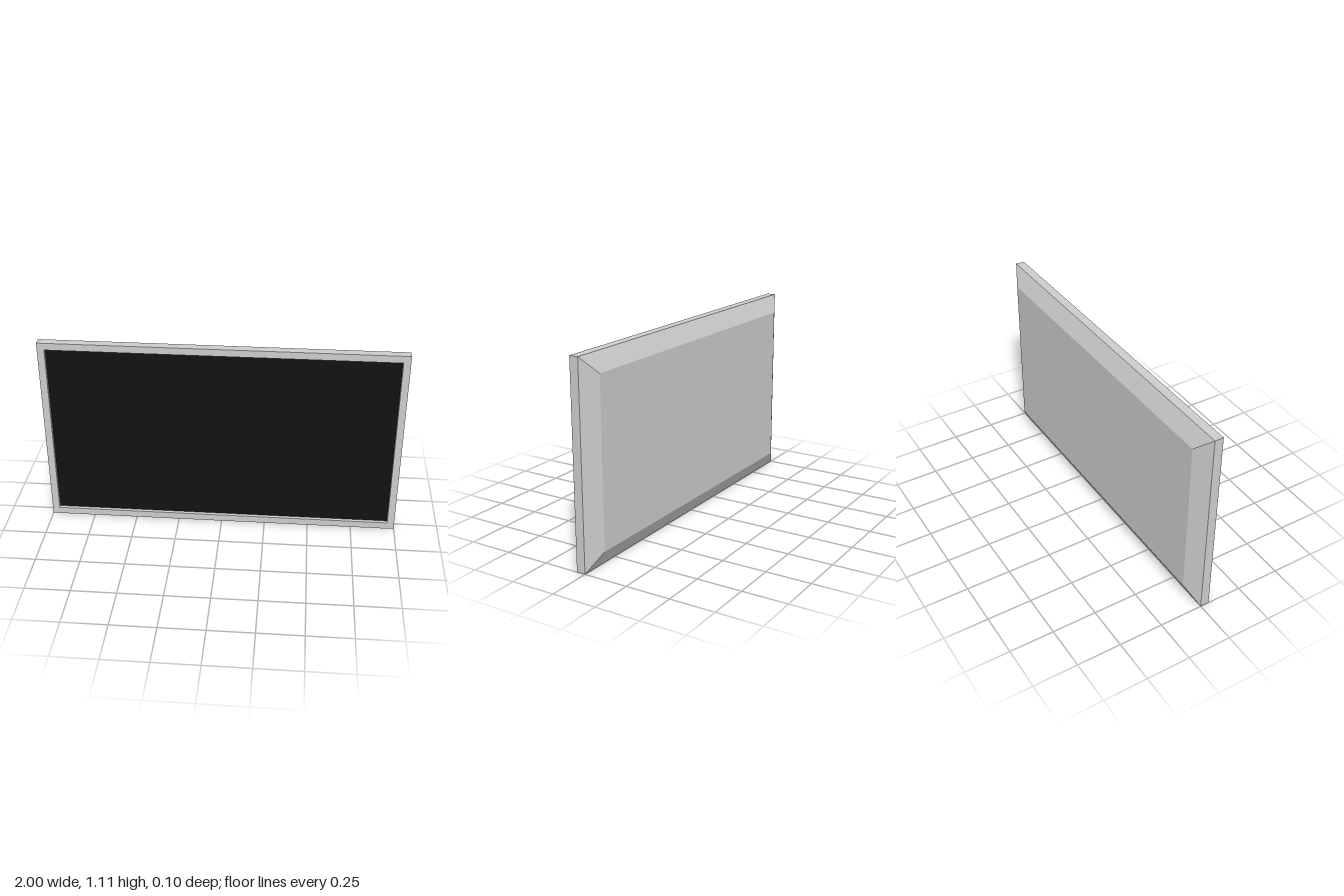
import * as THREE from 'three';

const WIDTH = 2, HEIGHT = 1.11, BEZEL = 0.04, SCREEN_Z = 0.03;

// Rectangular cross-section at depth z, inset from the outer edge (anticlockwise from the front)
function ring(insetX, insetY, z) {
  const x = WIDTH / 2 - insetX, y0 = insetY, y1 = HEIGHT - insetY;
  return [[-x, y0, z], [x, y0, z], [x, y1, z], [-x, y1, z]];
}

// Flat-faced shell through a list of rings, closed on the first one
function loftRings(rings) {
  const position = rings.flat(2), index = [0, 2, 1, 0, 3, 2];
  for (let i = 0; i < rings.length - 1; i++) {
    for (let j = 0; j < 4; j++) {
      const k = (j + 1) % 4;
      const a = i * 4 + j, b = i * 4 + k, c = b + 4, d = a + 4;
      index.push(a, b, c, a, c, d);
    }
  }
  const indexed = new THREE.BufferGeometry();
  indexed.setAttribute('position', new THREE.Float32BufferAttribute(position, 3));
  indexed.setIndex(index);
  const geometry = indexed.toNonIndexed();
  geometry.computeVertexNormals();
  return geometry;
}

export function createModel() {
  const model = new THREE.Group();
  model.name = 'flatScreen';

  // Casing: bevelled back, straight rim, front bezel and recess wall
  const casing = new THREE.Mesh(
    loftRings([
      ring(0.1, 0.095, -0.05),
      ring(0, 0, 0),
      ring(0, 0, 0.05),
      ring(BEZEL, BEZEL, 0.05),
      ring(BEZEL, BEZEL, SCREEN_Z),
    ]),
    new THREE.MeshStandardMaterial({ color: 0xcccccc, flatShading: true })
  );
  casing.name = 'casing';
  model.add(casing);

  // Dark screen set back inside the bezel
  const screen = new THREE.Mesh(
    new THREE.PlaneGeometry(WIDTH - 2 * BEZEL, HEIGHT - 2 * BEZEL),
    new THREE.MeshStandardMaterial({ color: 0x111111 })
  );
  screen.name = 'screen';
  screen.position.set(0, HEIGHT / 2, SCREEN_Z);
  model.add(screen);

  return model;
}
